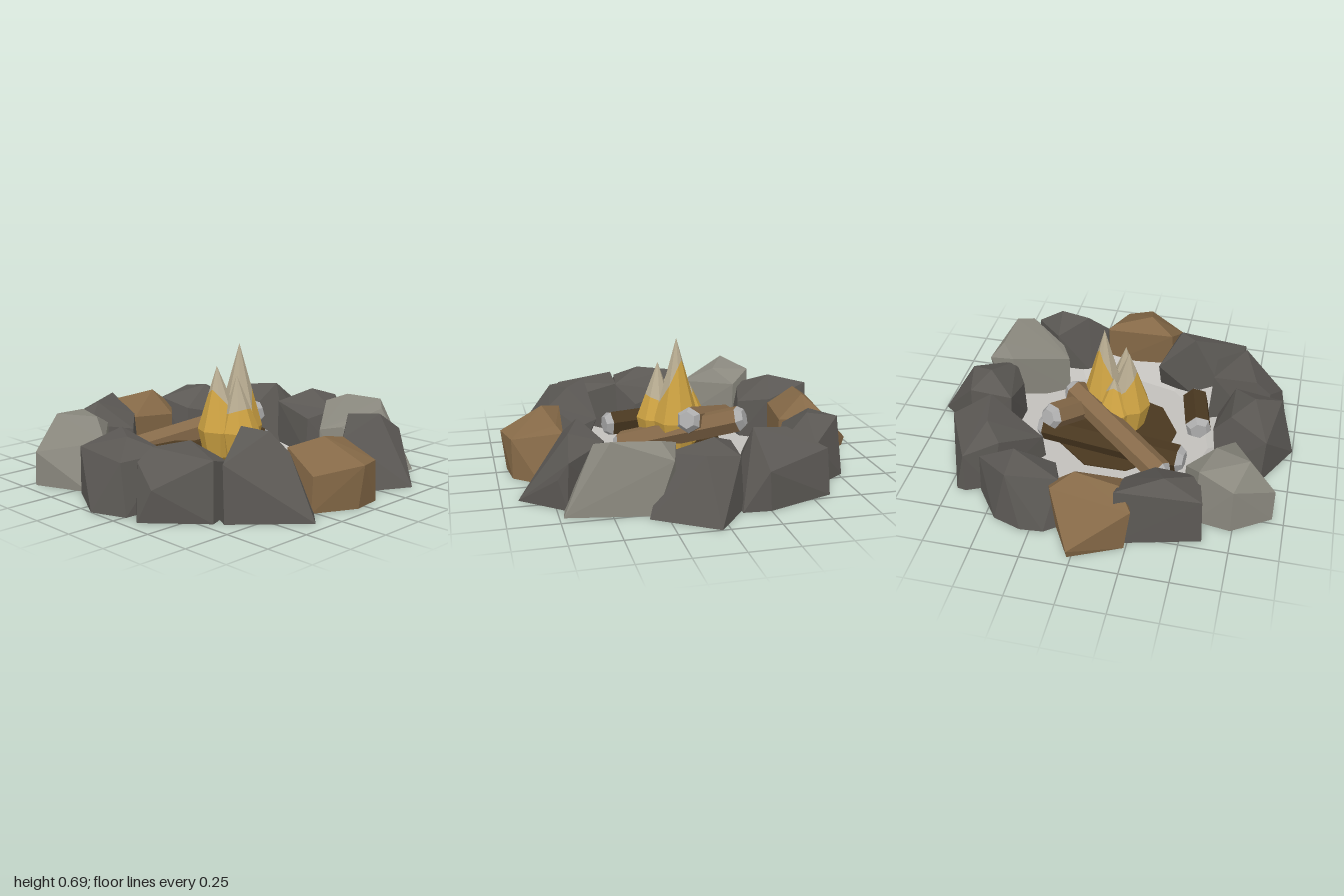
import * as THREE from 'three';
import { ConvexGeometry } from 'three/addons/geometries/ConvexGeometry.js';

const mat = (name, color, extra = {}) => {
  const m = new THREE.MeshStandardMaterial({ color, flatShading: true, ...extra });
  m.name = name;
  return m;
};

export function createModel() {
  const group = new THREE.Group();
  const darkStone = mat('darkStone', 0x5b5854);
  const lightStone = mat('lightStone', 0x8a887e);
  const brownStone = mat('brownStone', 0x856947);
  const wood = mat('wood', 0x856949);
  const darkWood = mat('darkWood', 0x4a3820);
  const cutEnd = mat('cutEnd', 0xadadad);
  const ash = mat('ash', 0xc2c0bc, { side: THREE.DoubleSide });
  const gold = mat('flameGold', 0xcda242);
  const pale = mat('flamePale', 0xb9ad92);

  const add = (name, geo, m, parent = group) => {
    const mesh = new THREE.Mesh(geo, m);
    mesh.name = name;
    parent.add(mesh);
    return mesh;
  };

  // Stone: convex hull of a ground outline [x, z] and upper corners [x, y, z]
  const stone = (name, m, base, top) => add(name, new ConvexGeometry([
    ...base.map(([x, z]) => new THREE.Vector3(x, 0, z)),
    ...top.map((p) => new THREE.Vector3(...p)),
  ]), m);

  // Ring of stones, clockwise from the back
  stone('backBrownStone', brownStone,
    [[0.02, -0.95], [-0.24, -0.83], [-0.19, -0.57], [0.07, -0.55], [0.17, -0.68]],
    [[0.02, 0.05, -0.965], [-0.27, 0.24, -0.82], [-0.19, 0.31, -0.72], [0.04, 0.33, -0.69],
      [0.15, 0.26, -0.76], [0.18, 0.22, -0.68], [0.07, 0.2, -0.55], [-0.19, 0.22, -0.57]]);
  stone('backRightStone', darkStone,
    [[0.1, -0.75], [0.18, -0.81], [0.3, -0.82], [0.45, -0.77], [0.58, -0.59], [0.43, -0.4], [0.16, -0.52]],
    [[0.38, 0.33, -0.59], [0.38, 0.3, -0.76], [0.12, 0.27, -0.7], [0.18, 0.22, -0.53],
      [0.58, 0.22, -0.57], [0.43, 0.16, -0.41]]);
  stone('rightBackStone', darkStone,
    [[0.66, -0.61], [0.71, -0.6], [0.84, -0.25], [0.83, -0.11], [0.58, -0.1], [0.32, -0.25], [0.53, -0.55]],
    [[0.58, 0.33, -0.41], [0.62, 0.355, -0.22], [0.33, 0.14, -0.26], [0.66, 0.23, -0.6],
      [0.84, 0.2, -0.24], [0.5, 0.25, -0.48]]);
  stone('rightStone', darkStone,
    [[0.55, -0.14], [0.78, -0.13], [1.0, 0.04], [0.8, 0.34], [0.62, 0.26], [0.53, 0.1]],
    [[0.82, 0.3, 0.07], [0.69, 0.345, 0.0], [0.54, 0.27, -0.13], [0.78, 0.27, -0.11],
      [0.54, 0.2, 0.1], [0.62, 0.26, 0.22]]);
  stone('rightFrontPaleStone', lightStone,
    [[0.63, 0.17], [0.77, 0.3], [0.69, 0.73], [0.57, 0.71], [0.38, 0.46], [0.34, 0.36]],
    [[0.69, 0.36, 0.5], [0.7, 0.35, 0.26], [0.77, 0.27, 0.21], [0.62, 0.31, 0.17],
      [0.34, 0.22, 0.36], [0.4, 0.24, 0.46], [0.61, 0.33, 0.57]]);
  stone('frontRightStone', darkStone,
    [[0.17, 0.64], [0.16, 0.78], [0.42, 0.92], [0.61, 0.7], [0.44, 0.48], [0.25, 0.54]],
    [[0.28, 0.36, 0.6], [0.46, 0.34, 0.67], [0.61, 0.24, 0.69], [0.17, 0.26, 0.66],
      [0.44, 0.28, 0.49], [0.58, 0.15, 0.74]]);
  stone('frontBrownStone', brownStone,
    [[-0.27, 0.83], [-0.24, 0.65], [0.18, 0.66], [0.22, 0.79], [0.11, 0.92], [-0.05, 0.94]],
    [[-0.08, 0.33, 0.74], [0.13, 0.28, 0.69], [-0.22, 0.28, 0.63], [0.18, 0.25, 0.66],
      [-0.04, 0.22, 0.965], [-0.26, 0.18, 0.83], [0.1, 0.21, 0.92]]);
  stone('frontLeftStone', darkStone,
    [[-0.67, 0.65], [-0.36, 0.935], [-0.24, 0.82], [-0.18, 0.53], [-0.4, 0.45], [-0.58, 0.48]],
    [[-0.38, 0.385, 0.47], [-0.18, 0.2, 0.43], [-0.29, 0.36, 0.575], [-0.18, 0.16, 0.53],
      [-0.66, 0.28, 0.63], [-0.26, 0.27, 0.68]]);
  stone('leftFrontStone', darkStone,
    [[-0.94, 0.35], [-0.82, 0.2], [-0.5, 0.25], [-0.5, 0.54], [-0.7, 0.61]],
    [[-0.76, 0.31, 0.25], [-0.52, 0.3, 0.26], [-0.51, 0.24, 0.52], [-0.9, 0.16, 0.41],
      [-0.67, 0.29, 0.58], [-0.84, 0.25, 0.24]]);
  stone('leftStone', darkStone,
    [[-1.0, 0.08], [-0.85, -0.2], [-0.6, -0.14], [-0.57, 0.14], [-0.64, 0.27], [-0.93, 0.26]],
    [[-0.91, 0.25, 0.2], [-0.77, 0.33, 0.08], [-0.66, 0.33, -0.1], [-0.86, 0.25, -0.18],
      [-0.57, 0.15, 0.13], [-0.57, 0.22, -0.09], [-0.65, 0.26, 0.24]]);
  stone('leftBackPaleStone', lightStone,
    [[-0.94, -0.47], [-0.74, -0.6], [-0.55, -0.57], [-0.48, -0.44], [-0.68, -0.16], [-0.82, -0.18]],
    [[-0.8, 0.36, -0.46], [-0.56, 0.33, -0.56], [-0.48, 0.26, -0.45], [-0.62, 0.33, -0.36],
      [-0.7, 0.24, -0.19], [-0.94, 0.18, -0.46], [-0.74, 0.26, -0.6]]);
  stone('backLeftStone', darkStone,
    [[-0.61, -0.7], [-0.18, -0.81], [-0.17, -0.58], [-0.28, -0.43], [-0.4, -0.41], [-0.58, -0.48]],
    [[-0.4, 0.33, -0.64], [-0.18, 0.33, -0.79], [-0.6, 0.25, -0.69], [-0.19, 0.24, -0.58],
      [-0.32, 0.2, -0.43], [-0.56, 0.25, -0.5]]);

  // Shallow bowl of ash and the scorched patch in it
  add('ashBed', new THREE.LatheGeometry(
    [[0.001, 0.003], [0.54, 0.003], [0.74, 0.09]].map((p) => new THREE.Vector2(...p)), 12), ash);
  const patch = add('scorchedPatch', new THREE.CylinderGeometry(0.335, 0.335, 0.008, 9), darkWood);
  patch.position.set(-0.02, 0.009, 0.03);

  // Log: hexagonal bark with a bevelled cut at each end
  const log = (name, m, from, to, r = 0.07) => {
    const a = new THREE.Vector3(...from), b = new THREE.Vector3(...to);
    const len = a.distanceTo(b), cap = 0.035;
    const g = new THREE.Group();
    g.name = name;
    add('bark', new THREE.CylinderGeometry(r, r, len - 2 * cap, 6), m, g);
    for (const s of [1, -1]) {
      const end = add('cutEnd', new THREE.CylinderGeometry(r * 0.65, r, cap, 6), cutEnd, g);
      end.position.y = s * (len - cap) / 2;
      if (s < 0) end.rotation.x = Math.PI;
    }
    g.position.copy(a).add(b).multiplyScalar(0.5);
    g.quaternion.setFromUnitVectors(new THREE.Vector3(0, 1, 0), b.sub(a).normalize());
    group.add(g);
  };
  log('longLog', wood, [-0.36, 0.1, -0.38], [0.24, 0.29, 0.02]);
  log('crossingLog', wood, [0.29, 0.3, -0.28], [-0.07, 0.08, 0.34]);
  log('backDarkLog', darkWood, [-0.44, 0.08, -0.21], [0.39, 0.09, -0.1], 0.075);
  log('looseDarkLog', darkWood, [-0.48, 0.09, 0.03], [-0.41, 0.09, 0.35], 0.075);

  // Flame tongue: a bulb rising to a spike; the gold climbs higher on the side facing `out`
  const SIDES = 8;
  const flame = (name, [bx, bz], r, [tx, ty, tz], out, split, climb) => {
    const bellyY = 0.24;
    const ring = (fn) => Array.from({ length: SIDES }, (_, i) => fn((i / SIDES) * Math.PI * 2));
    const around = (a, radius, y, k) => [
      bx + (tx - bx) * k + Math.cos(a) * radius, y, bz + (tz - bz) * k + Math.sin(a) * radius];
    const rings = [
      ring((a) => around(a, 0.01, 0.04, 0)),
      ring((a) => around(a, r * 0.75, 0.1, 0)),
      ring((a) => around(a, r, bellyY, 0)),
      ring((a) => {
        const k = split + climb * Math.cos(a - out);
        return around(a, r * (1 - k), bellyY + (ty - bellyY) * k, k);
      }),
      ring(() => [tx, ty, tz]),
    ];
    const skin = (part, from, to, m) => {
      const v = [];
      for (let j = from; j < to; j++) {
        for (let i = 0; i < SIDES; i++) {
          const n = (i + 1) % SIDES, [lo, hi] = [rings[j], rings[j + 1]];
          v.push(...lo[i], ...hi[i], ...lo[n], ...hi[i], ...hi[n], ...lo[n]);
        }
      }
      const geo = new THREE.BufferGeometry();
      geo.setAttribute('position', new THREE.Float32BufferAttribute(v, 3));
      geo.computeVertexNormals();
      add(name + part, geo, m);
    };
    skin('Body', 0, 3, gold);
    skin('Tip', 3, 4, pale);
  };
  flame('tallFlame', [0.05, 0.03], 0.125, [0.05, 0.69, 0.03], -0.7, 0.42, 0.32);
  flame('leftFlame', [-0.08, 0.02], 0.125, [-0.09, 0.58, 0.0], Math.PI, 0.38, 0.26);
  flame('frontFlame', [-0.04, 0.12], 0.11, [-0.05, 0.54, 0.11], Math.PI / 2, 0.34, 0.08);
  flame('backFlame', [-0.02, -0.05], 0.1, [-0.02, 0.44, -0.05], -Math.PI / 2, 0.5, 0.25);

  return group;
}
